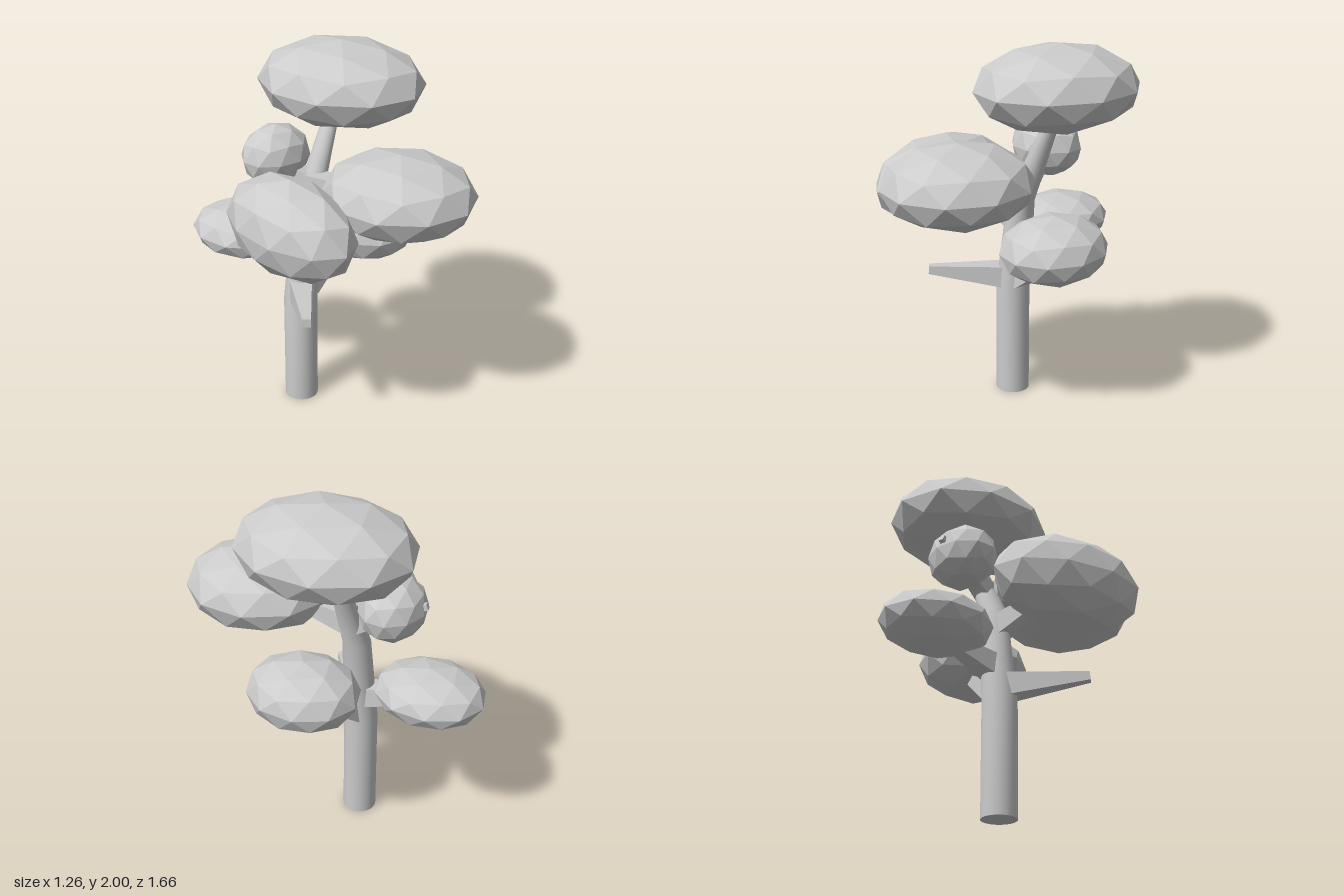
import * as THREE from 'three';

const material = new THREE.MeshStandardMaterial({ color: 0xcccccc });
const flat = new THREE.MeshStandardMaterial({ color: 0xcccccc, flatShading: true });

// Leaning trunk: horizontal rings [x, y, z, radius] joined into one smooth skin
function trunkGeometry(rings, sides) {
  const pos = [], index = [];
  for (const [x, y, z, r] of rings) {
    for (let i = 0; i < sides; i++) {
      const a = (i / sides) * Math.PI * 2;
      pos.push(x + r * Math.cos(a), y, z + r * Math.sin(a));
    }
  }
  for (let k = 0; k < rings.length - 1; k++) {
    for (let i = 0; i < sides; i++) {
      const a = k * sides + i, b = k * sides + (i + 1) % sides;
      index.push(a, a + sides, b, b, a + sides, b + sides);
    }
  }
  const geo = new THREE.BufferGeometry();
  geo.setAttribute('position', new THREE.Float32BufferAttribute(pos, 3));
  geo.setIndex(index);
  geo.computeVertexNormals();
  return geo;
}

// Square tapered branch running from one point to another
function branch(name, from, to, baseSize, tipSize) {
  const a = new THREE.Vector3(...from), b = new THREE.Vector3(...to);
  const length = a.distanceTo(b);
  const geo = new THREE.CylinderGeometry(tipSize * Math.SQRT1_2, baseSize * Math.SQRT1_2, length, 4, 1);
  geo.rotateY(Math.PI / 4).rotateX(Math.PI / 2).translate(0, 0, length / 2);
  const mesh = new THREE.Mesh(geo, flat);
  mesh.name = name;
  mesh.position.copy(a);
  mesh.lookAt(b);
  return mesh;
}

// Faceted leaf clump: stretched icosphere with a vertex at the top
function foliage(name, center, radii, turn = 0) {
  const geo = new THREE.IcosahedronGeometry(1, 1);
  geo.rotateZ(-Math.atan(2 / (1 + Math.sqrt(5))));
  geo.scale(...radii);
  const mesh = new THREE.Mesh(geo, flat);
  mesh.name = name;
  mesh.position.set(...center);
  mesh.rotation.y = turn;
  return mesh;
}

export function createModel() {
  const tree = new THREE.Group();
  tree.name = 'tree';

  // Trunk and its flat underside
  const trunk = new THREE.Mesh(trunkGeometry([
    [-0.067, 0, -0.12, 0.092],
    [-0.067, 0.62, -0.12, 0.092],
    [-0.012, 1.13, -0.12, 0.075],
    [0.185, 1.57, -0.12, 0.044],
    [0.24, 1.7, -0.12, 0.035],
  ], 24), material);
  trunk.name = 'trunk';
  const base = new THREE.Mesh(new THREE.CircleGeometry(0.092, 24), material);
  base.name = 'trunkBase';
  base.rotation.x = Math.PI / 2;
  base.position.set(-0.067, 0, -0.12);
  tree.add(trunk, base);

  // Branches, the first one bare
  tree.add(
    branch('bareBranch', [-0.09, 0.685, -0.1], [-0.4, 0.725, 0.2], 0.125, 0.045),
    branch('rightBranch', [-0.02, 0.68, -0.11], [0.28, 0.87, -0.06], 0.11, 0.04),
    branch('backBranch', [-0.05, 0.79, -0.15], [-0.07, 0.88, -0.55], 0.12, 0.045),
    branch('leftBranch', [-0.04, 1.02, -0.12], [-0.32, 1.19, 0.02], 0.12, 0.045),
    branch('frontBranch', [0.03, 1.27, -0.11], [0.04, 1.32, 0.35], 0.12, 0.045),
    branch('upperBackBranch', [0.04, 1.27, -0.13], [-0.05, 1.43, -0.5], 0.1, 0.03),
  );

  // Leaf clumps
  tree.add(
    foliage('topFoliage', [0.247, 1.778, -0.095], [0.4, 0.222, 0.465]),
    foliage('frontFoliage', [0.05, 1.35, 0.43], [0.378, 0.21, 0.4]),
    foliage('leftFoliage', [-0.375, 1.222, 0.08], [0.245, 0.253, 0.43], -0.21),
    foliage('rightFoliage', [0.315, 0.96, 0.003], [0.272, 0.18, 0.307]),
    foliage('backFoliage', [-0.068, 0.918, -0.53], [0.26, 0.143, 0.302]),
    foliage('upperBackFoliage', [-0.01, 1.39, -0.33], [0.205, 0.17, 0.17]),
  );
  return tree;
}
